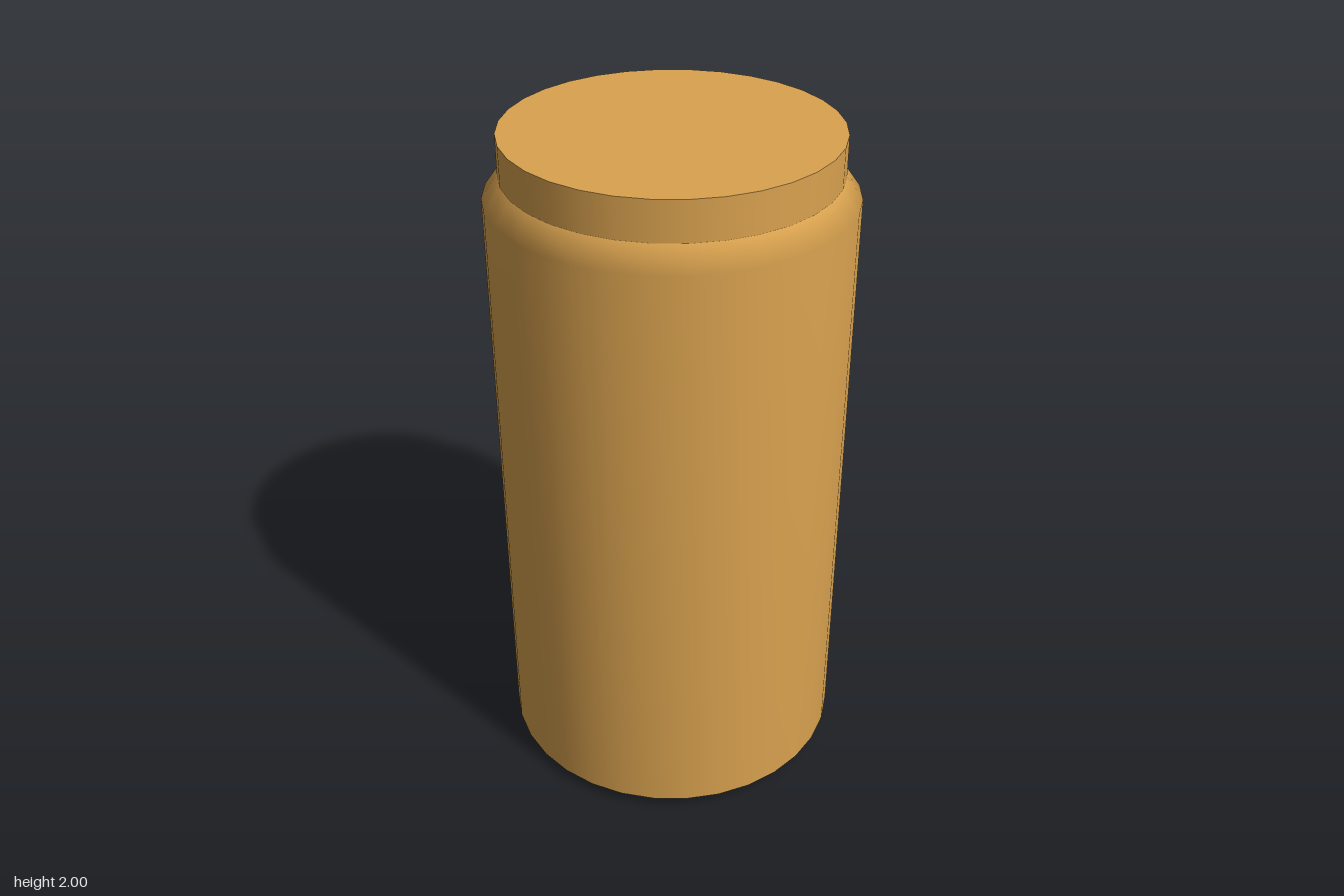
import * as THREE from 'three';

const SIDES = 32;

export function createModel() {
  const group = new THREE.Group();
  group.name = 'jar';
  const material = new THREE.MeshStandardMaterial({ color: 0xd9a24f });

  // Turns a profile of [radius, height] points, listed from bottom to top
  const turned = (name, profile) => {
    const points = profile.map(([r, y]) => new THREE.Vector2(r, y));
    const mesh = new THREE.Mesh(new THREE.LatheGeometry(points, SIDES), material);
    mesh.name = name;
    group.add(mesh);
  };

  // Body: flat base, bevelled foot, straight wall and sloping shoulder
  turned('body', [[0, 0], [0.483, 0], [0.515, 0.033], [0.515, 1.82], [0.468, 1.885]]);

  // Straight neck rising from the shoulder
  turned('neck', [[0.468, 1.885], [0.468, 2]]);

  // Flat top closing the neck
  turned('top', [[0.468, 2], [0, 2]]);

  return group;
}
